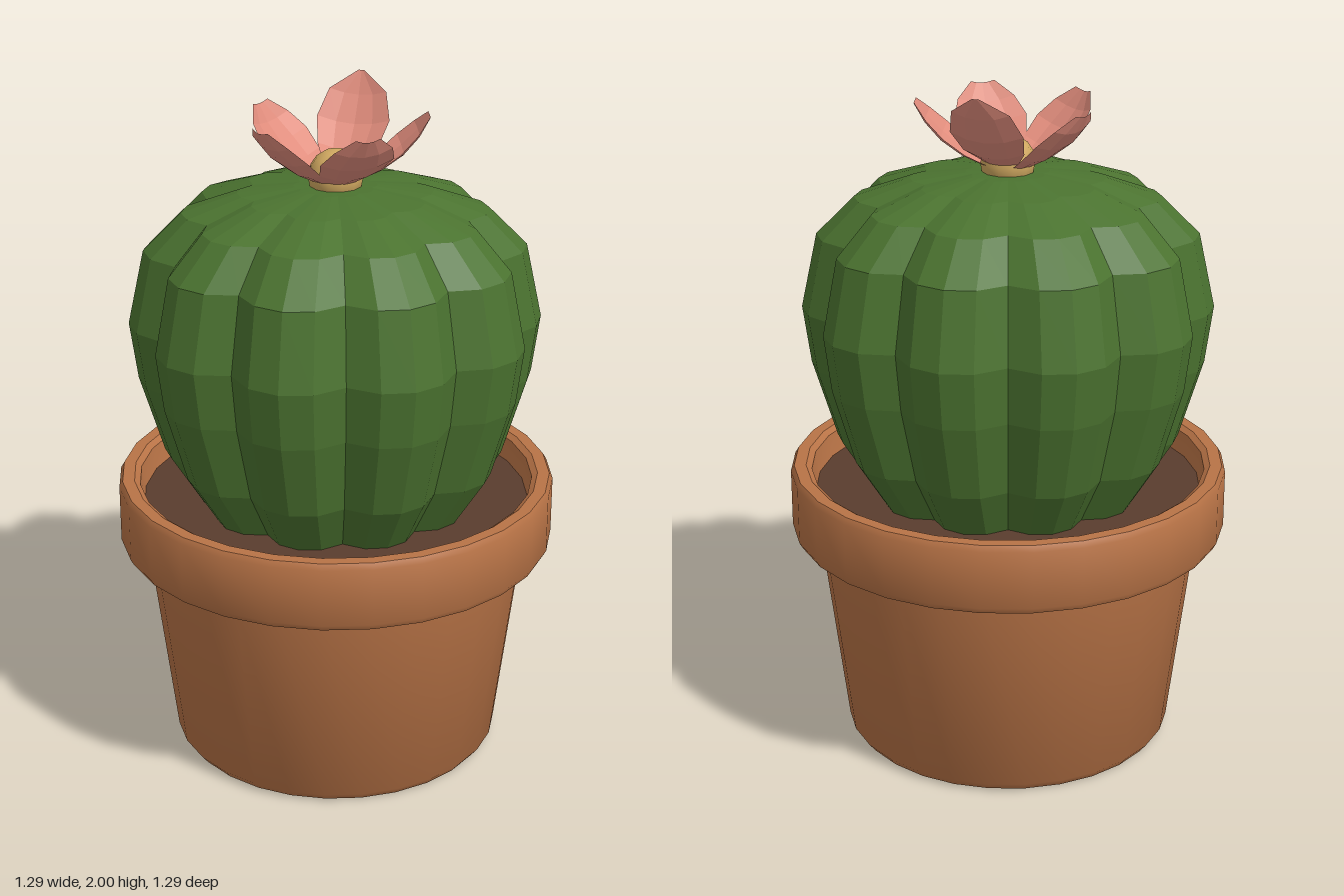
import * as THREE from 'three';
import { toCreasedNormals } from 'three/addons/utils/BufferGeometryUtils.js';

const material = (color, options = {}) => {
  const m = new THREE.MeshStandardMaterial(options);
  m.color.set(color);
  return m;
};
const points = (list) => list.map(([x, y]) => new THREE.Vector2(x, y));

function addMesh(parent, name, geometry, mat) {
  const mesh = new THREE.Mesh(geometry, mat);
  mesh.name = name;
  parent.add(mesh);
  return mesh;
}

// Ribbed body: a lathe whose rings are pinched between the ribs
function cactusGeometry() {
  const ribs = 10, phase = THREE.MathUtils.degToRad(1.5);
  const profile = points([[0, 0.73], [0.39, 0.75], [0.505, 0.93], [0.575, 1.16], [0.598, 1.33],
    [0.55, 1.55], [0.44, 1.66], [0.28, 1.715], [0.12, 1.735], [0, 1.738]]);
  const geo = new THREE.LatheGeometry(profile, ribs * 4, phase);
  const pos = geo.attributes.position;
  for (let i = 0; i < pos.count; i++) {
    const x = pos.getX(i), z = pos.getZ(i);
    const c = Math.cos(ribs * (Math.atan2(x, z) - phase));
    const f = 0.97 + 0.0625 * c - 0.0325 * c * c;
    pos.setX(i, x * f);
    pos.setZ(i, z * f);
  }
  return geo;
}

// Cupped petal pointing along +z, built from cross rows
function petalGeometry(heights, tipWidth) {
  const reach = [0, 0.06, 0.13, 0.19, 0.235, 0.265];
  const half = [0.02, 0.05, 0.09, 0.108, 0.085, tipWidth];
  const verts = [], index = [], cols = 5;
  reach.forEach((z, r) => {
    for (let c = 0; c < cols; c++) {
      const s = (c / (cols - 1)) * 2 - 1;
      const cup = 0.2 * half[r] * s * s;
      verts.push(half[r] * s, heights[r] + cup, z - cup * 0.6);
      if (r > 0 && c > 0) {
        const d = r * cols + c, b = d - cols;
        index.push(b - 1, d - 1, d, b - 1, d, b);
      }
    }
  });
  const geo = new THREE.BufferGeometry();
  geo.setAttribute('position', new THREE.Float32BufferAttribute(verts, 3));
  geo.setIndex(index);
  geo.computeVertexNormals();
  return geo;
}

export function createModel() {
  const model = new THREE.Group();
  model.name = 'pottedCactus';

  // Pot with bevelled foot and thick rim
  const clay = material(0xb87346);
  const potProfile = points([[0, 0], [0.47, 0], [0.49, 0.025], [0.565, 0.64], [0.6, 0.64],
    [0.635, 0.652], [0.645, 0.67], [0.645, 0.84], [0.635, 0.857], [0.6, 0.857],
    [0.583, 0.845], [0.57, 0.77], [0.56, 0.74]]);
  const pot = new THREE.LatheGeometry(potProfile, 28);
  addMesh(model, 'pot', toCreasedNormals(pot, 0.6), clay);

  // Soil disc
  const soil = addMesh(model, 'soil', new THREE.CylinderGeometry(0.572, 0.56, 0.04, 28), material(0x5a3d2e));
  soil.position.y = 0.76;

  addMesh(model, 'cactusBody', cactusGeometry(), material(0x4b7330, { flatShading: true }));

  // Flower: five petals, the rear one standing taller
  const flower = new THREE.Group();
  flower.name = 'flower';
  model.add(flower);
  const pink = material(0xe08c7c, { flatShading: true, side: THREE.DoubleSide });
  const low = petalGeometry([1.74, 1.75, 1.785, 1.83, 1.88, 1.93], 0.035);
  const tall = petalGeometry([1.74, 1.76, 1.8, 1.86, 1.935, 2], 0.008);
  for (let i = 0; i < 5; i++) {
    const petal = addMesh(flower, 'petal', i ? low : tall, pink);
    petal.rotation.y = Math.PI + (i * Math.PI * 2) / 5;
  }
  const centre = addMesh(flower, 'flowerCentre', new THREE.SphereGeometry(0.08, 12, 8), material(0xd0a860));
  centre.position.y = 1.76;

  return model;
}
